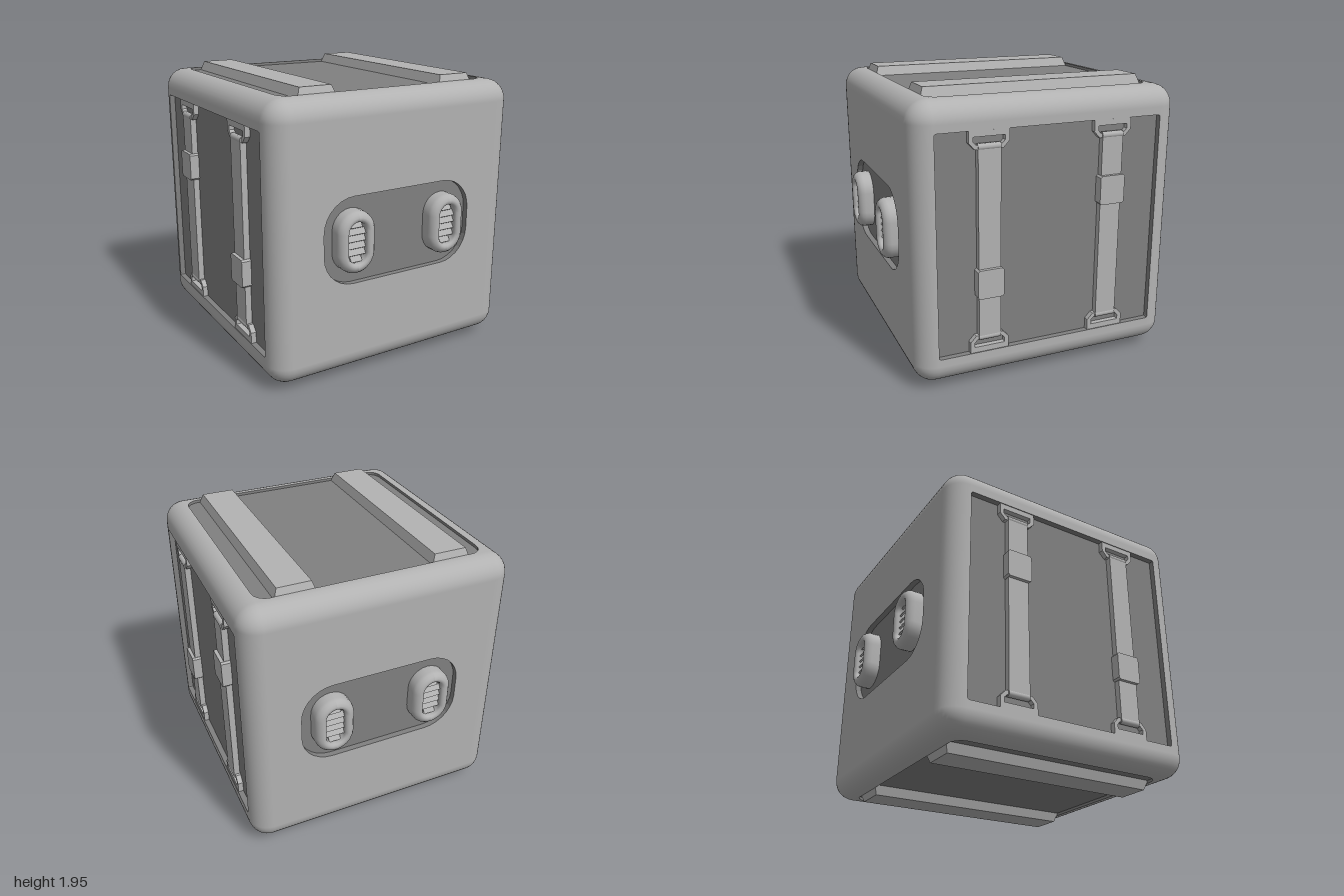
import * as THREE from 'three';
import { RoundedBoxGeometry } from 'three/addons/geometries/RoundedBoxGeometry.js';

const shellMat = new THREE.MeshStandardMaterial({ color: 0xb2b2b2 });
shellMat.name = 'light grey';
const panelMat = new THREE.MeshStandardMaterial({ color: 0x808080 });
panelMat.name = 'dark grey';

const HALF = 0.93, HALF_Y = 0.9325, RADIUS = 0.14, CENTER_Y = 0.98;
const FLAT = HALF - RADIUS, FLAT_Y = HALF_Y - RADIUS;

function add(parent, name, geometry, material, x = 0, y = 0, z = 0) {
  const mesh = new THREE.Mesh(geometry, material);
  mesh.name = name;
  mesh.position.set(x, y, z);
  parent.add(mesh);
  return mesh;
}

// Counter-clockwise outline of a rounded rectangle
function roundRect(hw, hh, r, n = 6) {
  const pts = [];
  [[1, 1], [-1, 1], [-1, -1], [1, -1]].forEach(([sx, sy], c) => {
    for (let i = 0; i <= n; i++) {
      const a = (c + i / n) * Math.PI / 2;
      pts.push(new THREE.Vector2(sx * (hw - r) + r * Math.cos(a), sy * (hh - r) + r * Math.sin(a)));
    }
  });
  return pts;
}

// Skin between closed outlines, each given as { pts, z }
function loft(rings, flat = false) {
  const pos = [], index = [], n = rings[0].pts.length;
  rings.forEach(({ pts, z }) => pts.forEach(p => pos.push(p.x, p.y, z)));
  for (let i = 0; i < rings.length - 1; i++) {
    for (let j = 0; j < n; j++) {
      const a = i * n + j, b = i * n + (j + 1) % n;
      index.push(a, b, b + n, a, b + n, a + n);
    }
  }
  let g = new THREE.BufferGeometry();
  g.setAttribute('position', new THREE.Float32BufferAttribute(pos, 3));
  g.setIndex(index);
  if (flat) g = g.toNonIndexed();
  g.computeVertexNormals();
  return g;
}

// Rounded edges and corners only; the six flat faces are left open
function shellGeometry() {
  const src = new RoundedBoxGeometry(2 * HALF, 2 * HALF_Y, 2 * HALF, 4, RADIUS);
  const p = src.attributes.position, nor = src.attributes.normal;
  const half = [HALF, HALF_Y, HALF], pos = [], normals = [];
  for (let i = 0; i < p.count; i += 3) {
    const flat = half.some((h, k) => [0, 1, 2].every(j => Math.abs(Math.abs(p.array[(i + j) * 3 + k]) - h) < 1e-5));
    if (flat) continue;
    for (let k = i * 3; k < i * 3 + 9; k++) {
      pos.push(p.array[k]);
      normals.push(nor.array[k]);
    }
  }
  const g = new THREE.BufferGeometry();
  g.setAttribute('position', new THREE.Float32BufferAttribute(pos, 3));
  g.setAttribute('normal', new THREE.Float32BufferAttribute(normals, 3));
  return g;
}

// One cube face with a sunken panel; local z = 0 is the outer surface
function makeFace(parent, name, flatY, outline, depth, dist, rx, ry) {
  const face = new THREE.Group();
  face.name = name;
  face.rotation.set(rx, ry, 0);
  face.position.set(0, 0, dist).applyEuler(face.rotation);
  parent.add(face);
  const frame = new THREE.Shape(roundRect(FLAT, flatY, 0, 1));
  frame.holes.push(new THREE.Path(outline.slice().reverse()));
  add(face, 'faceFrame', new THREE.ShapeGeometry(frame), shellMat);
  add(face, 'recessWall', loft([{ pts: outline, z: 0 }, { pts: outline, z: -depth }], true), panelMat);
  add(face, 'recessFloor', new THREE.ShapeGeometry(new THREE.Shape(outline)), panelMat, 0, 0, -depth);
  return face;
}

// Box whose outer (+z) side is narrowed by an inset
function taperedBox(w, h, d, inset) {
  const g = new THREE.BoxGeometry(w, h, d), p = g.attributes.position;
  for (let i = 0; i < p.count; i++) {
    if (p.getZ(i) > 0) {
      p.setX(i, p.getX(i) - Math.sign(p.getX(i)) * inset);
      p.setY(i, p.getY(i) - Math.sign(p.getY(i)) * inset);
    }
  }
  g.computeVertexNormals();
  return g;
}

// Capsule-shaped vent with louvres
function addVent(face, x) {
  const vent = new THREE.Group();
  vent.name = 'vent';
  vent.position.x = x;
  face.add(vent);
  const straight = 0.073;
  const stadium = r => roundRect(r, r + straight, r);
  const profile = [[0.137, -0.045], [0.137, 0.022], [0.131, 0.043], [0.117, 0.06], [0.099, 0.069],
    [0.086, 0.069], [0.073, 0.063], [0.066, 0.05], [0.065, 0]];
  add(vent, 'ventRim', loft(profile.map(([r, z]) => ({ pts: stadium(r), z }))), shellMat);
  add(vent, 'ventBack', new THREE.ShapeGeometry(new THREE.Shape(stadium(0.066))), panelMat, 0, 0, 0.005);
  for (let i = 0; i < 6; i++) {
    const y = (i - 2.5) * 0.046;
    const over = Math.max(0, Math.abs(y) + 0.01 - straight);
    const w = 2 * Math.sqrt(0.066 ** 2 - over ** 2);
    const slat = add(vent, 'louvre', new THREE.BoxGeometry(w, 0.042, 0.012), shellMat, 0, y, 0.025);
    slat.rotation.x = -0.55;
  }
}

// Strap with a buckle and an anchor loop at each end
function addStrap(face, x, buckleY, floor) {
  const strap = new THREE.Group();
  strap.name = 'strap';
  strap.position.set(x, 0, floor);
  face.add(strap);
  add(strap, 'webbing', new THREE.BoxGeometry(0.152, 1.29, 0.042), shellMat, 0, 0, 0.021);
  const buckle = new THREE.Shape(roundRect(0.09, 0.098, 0.012, 1));
  add(strap, 'buckle', new THREE.ExtrudeGeometry(buckle, { depth: 0.066, bevelEnabled: false }), shellMat, 0, buckleY, 0);
  const v = (a, b) => new THREE.Vector2(a, b);
  const loop = new THREE.Shape([v(-0.135, 0), v(-0.135, -0.075), v(-0.095, -0.118), v(0.095, -0.118),
    v(0.135, -0.075), v(0.135, 0)]);
  loop.holes.push(new THREE.Path([v(-0.105, -0.038), v(0.105, -0.038), v(0.105, -0.07), v(0.085, -0.09),
    v(-0.085, -0.09), v(-0.105, -0.07)]));
  const loopGeo = new THREE.ExtrudeGeometry(loop, { depth: 0.036, bevelEnabled: false });
  for (const s of [1, -1]) {
    const end = add(strap, 'anchorLoop', loopGeo, shellMat, 0, s * 0.739, 0);
    if (s < 0) end.rotation.z = Math.PI;
    // Rounded fold of webbing around the loop bar
    const fold = add(strap, 'strapFold', new THREE.CylinderGeometry(0.023, 0.023, 0.152, 10), shellMat, 0, s * 0.635, 0.023);
    fold.rotation.z = Math.PI / 2;
  }
}

export function createModel() {
  const model = new THREE.Group();
  model.name = 'storageCrate';
  const body = new THREE.Group();
  body.name = 'body';
  body.position.y = CENTER_Y;
  model.add(body);
  add(body, 'roundedEdges', shellGeometry(), shellMat);

  // Front and back with paired vents
  for (const [name, ry] of [['frontFace', 0], ['backFace', Math.PI]]) {
    const face = makeFace(body, name, FLAT_Y, roundRect(0.573, 0.295, 0.22, 7), 0.04, HALF, 0, ry);
    for (const s of [-1, 1]) addVent(face, s * 0.357);
  }

  // Sides with two straps; the front buckle sits low, the rear one high
  for (const s of [1, -1]) {
    const face = makeFace(body, s > 0 ? 'leftFace' : 'rightFace', FLAT_Y,
      roundRect(0.787, 0.74, 0.012, 2), 0.04, HALF, 0, s * Math.PI / 2);
    addStrap(face, -s * 0.435, -0.255, -0.04);
    addStrap(face, s * 0.43, 0.27, -0.04);
  }

  // Top and bottom with two tapered runners
  for (const s of [1, -1]) {
    const face = makeFace(body, s > 0 ? 'topFace' : 'bottomFace', FLAT,
      roundRect(0.78, 0.78, 0.09, 5), 0.02, HALF_Y, -s * Math.PI / 2, 0);
    for (const side of [-1, 1]) {
      add(face, 'runner', taperedBox(0.272, 1.57, 0.065, 0.023), shellMat, side * 0.535, 0, 0.0125);
    }
  }
  return model;
}
